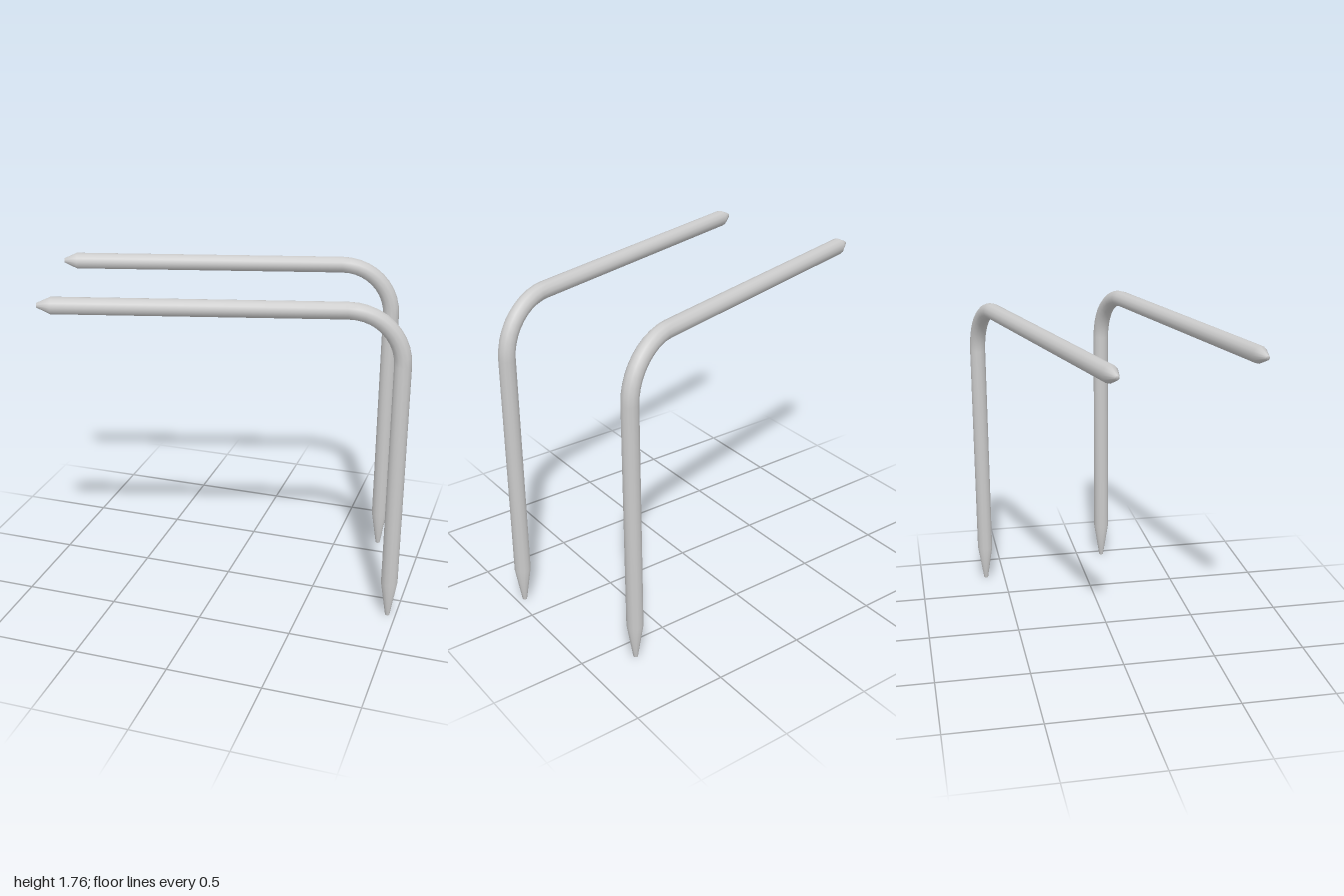
import * as THREE from 'three';

const SIDES = 12;
const R = 0.044;      // rod radius
const TIP = 0.012;    // radius of the blunt points
const BEND = 0.28;    // centreline radius of the elbow
const TOP = 1.717;    // height of the horizontal arm's centreline
const LENGTH = 1.803; // reach of the horizontal arm

// Stations along the rod: centre (x, y), heading angle and radius
function rodStations() {
  const up = Math.PI / 2;
  const stations = [[0, 0, up, TIP], [0, 0.2, up, R]];
  const steps = 10;
  for (let i = 0; i <= steps; i++) {
    const a = (i / steps) * up;
    stations.push([BEND * (1 - Math.cos(a)), TOP - BEND + BEND * Math.sin(a), up - a, R]);
  }
  stations.push([LENGTH - 0.07, TOP, 0, R], [LENGTH, TOP, 0, TIP]);
  return stations;
}

// Sweep a ring through the stations and close both ends
function rodGeometry() {
  const stations = rodStations();
  const positions = [];
  const index = [];
  for (const [x, y, heading, r] of stations) {
    for (let j = 0; j < SIDES; j++) {
      const a = (j / SIDES) * Math.PI * 2;
      const n = r * Math.cos(a);
      positions.push(x - n * Math.sin(heading), y + n * Math.cos(heading), r * Math.sin(a));
    }
  }
  for (let i = 0; i < stations.length - 1; i++) {
    for (let j = 0; j < SIDES; j++) {
      const a = i * SIDES + j;
      const b = i * SIDES + (j + 1) % SIDES;
      index.push(a, b, a + SIDES, b, b + SIDES, a + SIDES);
    }
  }
  const last = (stations.length - 1) * SIDES;
  for (let j = 1; j < SIDES - 1; j++) {
    index.push(0, j + 1, j);
    index.push(last, last + j, last + j + 1);
  }
  const geometry = new THREE.BufferGeometry();
  geometry.setAttribute('position', new THREE.Float32BufferAttribute(positions, 3));
  geometry.setIndex(index);
  geometry.computeVertexNormals();
  return geometry;
}

export function createModel() {
  const group = new THREE.Group();
  group.name = 'bentRods';
  const material = new THREE.MeshStandardMaterial({ color: 0xcccccc });
  const geometry = rodGeometry();

  // Two identical pointed rods, both turned the same way
  const rods = [['frontRod', 0.956, 0.155], ['backRod', 0.746, -0.61]];
  for (const [name, x, z] of rods) {
    const rod = new THREE.Mesh(geometry, material);
    rod.name = name;
    rod.position.set(x, 0, z);
    rod.rotation.y = Math.PI + THREE.MathUtils.degToRad(15);
    group.add(rod);
  }
  return group;
}
